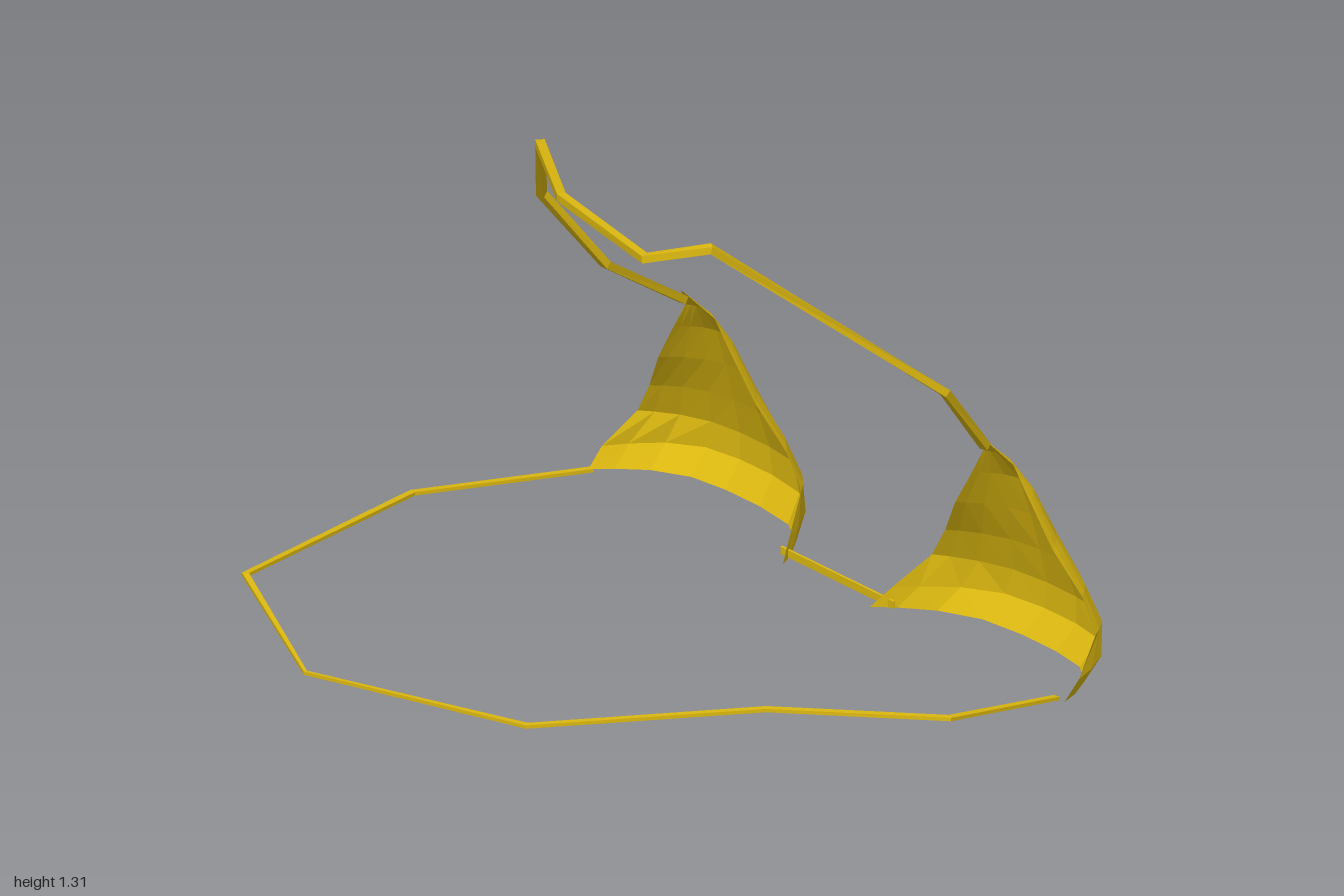
import * as THREE from 'three';

const fabric = new THREE.MeshStandardMaterial({ color: 0xdcb810, side: THREE.DoubleSide });
const V = (x, y, z) => new THREE.Vector3(x, y, z);

// Faceted surface through rows of points, all rows equally long
function loft(name, rows) {
  const n = rows[0].length, index = [];
  for (let i = 0; i < rows.length - 1; i++) {
    for (let j = 0; j < n - 1; j++) {
      const a = i * n + j, b = a + n;
      index.push(a, a + 1, b, a + 1, b + 1, b);
    }
  }
  const smooth = new THREE.BufferGeometry().setFromPoints(rows.flat());
  smooth.setIndex(index);
  const geometry = smooth.toNonIndexed();
  geometry.computeVertexNormals();
  const mesh = new THREE.Mesh(geometry, fabric);
  mesh.name = name;
  return mesh;
}

// Strap of rectangular section with mitred corners; each point is [x, y, z, width]
function strap(name, path, height) {
  const pts = path.map(p => V(p[0], p[1], p[2]));
  const last = pts.length - 1;
  const rings = pts.map((p, i) => {
    const before = p.clone().sub(pts[Math.max(i - 1, 0)]).normalize();
    const after = pts[Math.min(i + 1, last)].clone().sub(p).normalize();
    const dir = before.clone().add(after).normalize();
    const mitre = Math.min(1.5, 1 / Math.max(dir.dot(i < last ? after : before), 0.5));
    const side = V(0, 1, 0).cross(dir).normalize();
    const up = dir.clone().cross(side);
    return [[1, 1], [-1, 1], [-1, -1], [1, -1], [1, 1]].map(([s, u]) => p.clone()
      .addScaledVector(side, s * path[i][3] * mitre / 2)
      .addScaledVector(up, u * height / 2));
  });
  const cap = p => Array.from({ length: 5 }, () => p.clone());
  return loft(name, [cap(pts[0]), ...rings, cap(pts[last])]);
}

// Cup sections: [edge y, middle y, edge x, middle x, inner z, outer z, roundness]
const CUP = [
  [0.02, 0.005, 0.56, 0.765, 0.205, 0.965, 3],
  [0.07, 0.068, 0.605, 0.82, 0.235, 0.967, 3],
  [0.155, 0.14, 0.688, 0.82, 0.29, 0.93, 2.6],
  [0.24, 0.24, 0.685, 0.79, 0.345, 0.88, 2.3],
  [0.35, 0.35, 0.652, 0.752, 0.425, 0.805, 2],
  [0.46, 0.46, 0.64, 0.708, 0.505, 0.73, 2],
  [0.54, 0.54, 0.632, 0.65, 0.56, 0.675, 2],
  [0.612, 0.612, 0.575, 0.575, 0.62, 0.62, 2],
];
const mirrorZ = z => 0.07 - z;

function cup(name, mirrored) {
  const steps = [-1, -0.9, -0.72, -0.45, -0.1, 0.25, 0.55, 0.78, 0.92, 1];
  return loft(name, CUP.map(([ye, ym, xe, xm, z0, z1, p]) => steps.map(t => {
    // the outer side is a little squarer than the inner one
    const bulge = 1 - Math.abs(t) ** (t > 0 ? p * 1.35 : p);
    const z = z0 + (z1 - z0) * (t + 1) / 2;
    return V(xe + (xm - xe) * bulge, ye + (ym - ye) * bulge, mirrored ? mirrorZ(z) : z);
  })));
}

export function createModel() {
  const model = new THREE.Group();
  model.name = 'bikiniTop';

  // Cups
  model.add(cup('frontCup', false), cup('rearCup', true));

  // Strap looping behind the neck
  model.add(strap('neckStrap', [
    [0.585, 0.585, 0.625], [0.405, 0.80, 0.69], [-0.215, 1.303, 0.538],
    [-0.337, 1.275, 0.43], [-0.26, 1.277, 0.01], [-0.015, 1.225, -0.375],
    [0.085, 1.025, -0.492], [0.28, 0.785, -0.482], [0.59, 0.58, -0.56],
  ].map(p => [...p, 0.022]), 0.02));

  // Strap round the back
  model.add(strap('backStrap', [
    [0.56, 0.022, 0.935, 0.018], [0.18, 0.087, 0.985, 0.018], [-0.13, 0.083, 0.65, 0.018],
    [-0.645, 0.078, 0.35, 0.016], [-0.82, 0.05, -0.30, 0.009], [-0.62, 0.098, -0.78, 0.016],
    [0.08, 0.056, -0.99, 0.018], [0.565, 0.022, -0.885, 0.018],
  ], 0.009));

  // Bridge between the cups
  const bridge = new THREE.Mesh(new THREE.BoxGeometry(0.007, 0.02, 0.44), fabric);
  bridge.name = 'centreBridge';
  bridge.position.set(0.6, 0.03, 0.03);
  model.add(bridge);

  return model;
}
